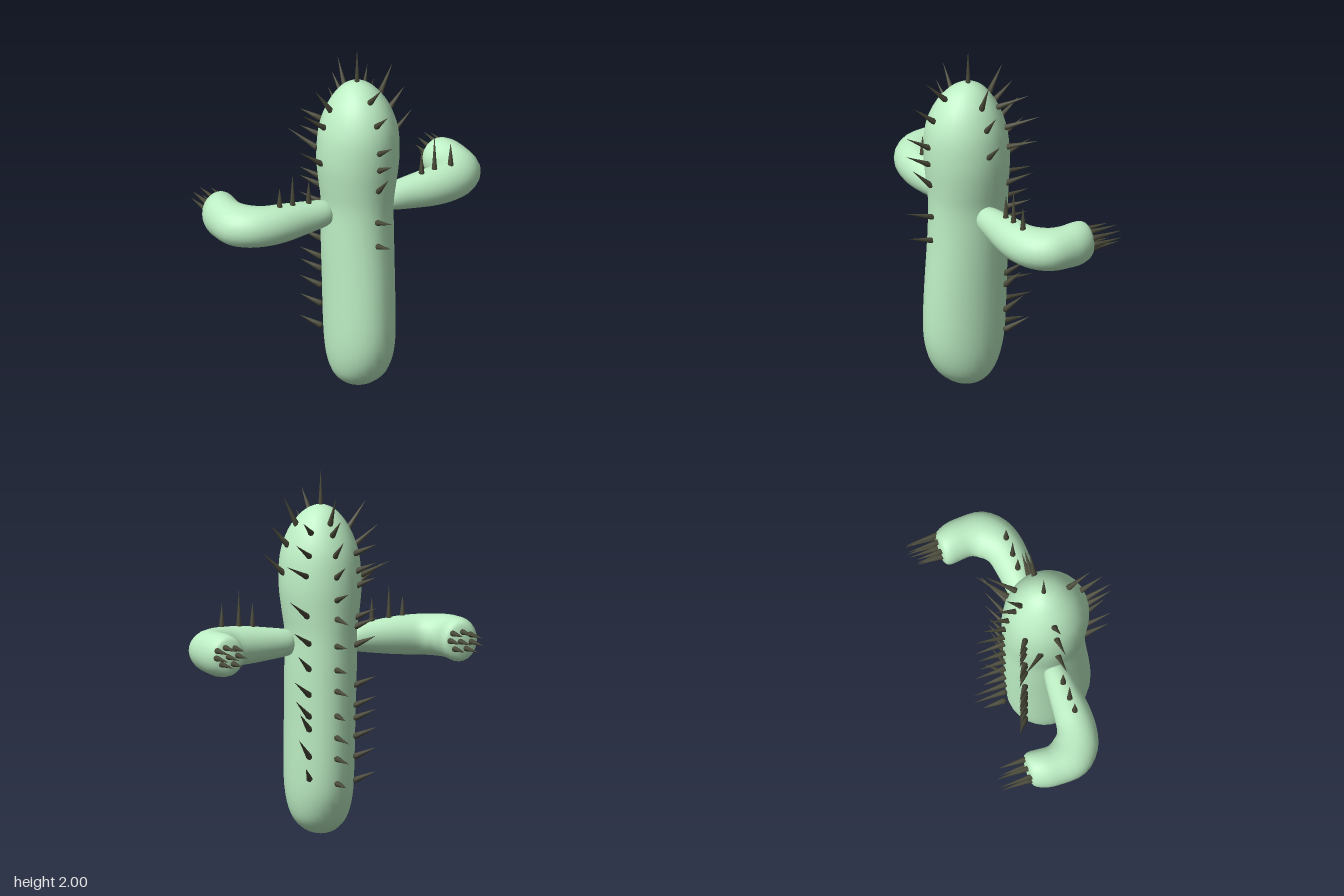
import * as THREE from 'three';

const skin = new THREE.MeshStandardMaterial({ color: 0xbdeec4 });
const thorn = new THREE.MeshStandardMaterial({ color: 0x4a4a3a });
const V = (x, y, z) => new THREE.Vector3(x, y, z);

// Catmull-Rom resampling of a table of section values
function smooth(rows, steps = 3) {
  const out = [];
  const at = i => rows[Math.min(Math.max(i, 0), rows.length - 1)];
  for (let i = 0; i < rows.length - 1; i++) {
    for (let s = 0; s < steps; s++) {
      const t = s / steps;
      out.push(rows[i].map((p, k) => {
        const o = at(i - 1)[k], q = at(i + 1)[k], r = at(i + 2)[k];
        return p + 0.5 * t * (q - o + t * (2 * o - 5 * p + 4 * q - r + t * (3 * (p - q) + r - o)));
      }));
    }
  }
  out.push(rows[rows.length - 1]);
  return out;
}

// Skin over elliptical sections { c, u, v }, where u x v points along the path
function loft(sections, name, n = 24) {
  const pos = [], idx = [];
  sections.forEach(({ c, u, v }, i) => {
    for (let j = 0; j < n; j++) {
      const a = j / n * Math.PI * 2;
      const p = c.clone().addScaledVector(u, Math.cos(a)).addScaledVector(v, Math.sin(a));
      pos.push(p.x, p.y, p.z);
      if (i < sections.length - 1) {
        const A = i * n + j, B = i * n + (j + 1) % n;
        idx.push(A, B, A + n, B, B + n, A + n);
      }
    }
  });
  const g = new THREE.BufferGeometry();
  g.setAttribute('position', new THREE.Float32BufferAttribute(pos, 3));
  g.setIndex(idx);
  g.computeVertexNormals();
  const m = new THREE.Mesh(g, skin);
  m.name = name;
  return m;
}

// Needle with a small rounded foot, from base to tip
function spike(base, tip) {
  const d = tip.clone().sub(base), len = d.length();
  const profile = [[0, -0.01], [0.012, -0.006], [0.017, 0.008], [0.012, 0.05], [0, len]];
  const g = new THREE.LatheGeometry(profile.map(p => new THREE.Vector2(...p)), 8);
  const m = new THREE.Mesh(g, thorn);
  m.name = 'spike';
  m.position.copy(base);
  m.quaternion.setFromUnitVectors(V(0, 1, 0), d.normalize());
  return m;
}

export function createModel() {
  const model = new THREE.Group();
  model.name = 'cactus';

  // Trunk: height, half width, front z, back z
  const trunk = [
    [0.005, 0, 0.06, 0.06], [0.02, 0.065, 0.135, -0.005], [0.06, 0.12, 0.2, -0.055],
    [0.12, 0.155, 0.255, -0.095], [0.22, 0.176, 0.3, -0.132], [0.36, 0.183, 0.32, -0.15],
    [0.6, 0.185, 0.312, -0.16], [0.9, 0.19, 0.29, -0.165], [1.1, 0.19, 0.285, -0.165],
    [1.22, 0.206, 0.293, -0.168], [1.36, 0.222, 0.306, -0.17], [1.5, 0.217, 0.306, -0.157],
    [1.6, 0.195, 0.285, -0.132], [1.69, 0.155, 0.24, -0.09], [1.76, 0.1, 0.175, -0.04],
    [1.795, 0.05, 0.115, 0.01], [1.81, 0, 0.06, 0.06]];
  model.add(loft(smooth(trunk).map(([y, rx, f, b]) => ({
    c: V(0, y, (f + b) / 2), u: V(0, 0, (f - b) / 2), v: V(rx, 0, 0) })), 'trunk', 28));

  const row = (name, list) => {
    const g = new THREE.Group();
    g.name = name;
    list.forEach(([a, b]) => g.add(spike(a, b)));
    model.add(g);
  };

  // Arms: x, z, half width, half height, heading turning from outward to backward
  const arm = [
    [0.165, 0.055, 0, 0, 0], [0.172, 0.055, 0.045, 0.05, 0], [0.2, 0.055, 0.068, 0.072, 0],
    [0.32, 0.055, 0.085, 0.09, 0], [0.45, 0.055, 0.1, 0.105, 0.02], [0.55, 0.045, 0.108, 0.11, 0.2],
    [0.63, 0.01, 0.122, 0.113, 0.6], [0.685, -0.05, 0.125, 0.115, 1.1], [0.7, -0.13, 0.11, 0.117, 1.5],
    [0.695, -0.2, 0.107, 0.12, 1.62], [0.68, -0.26, 0.096, 0.11, 1.65], [0.675, -0.285, 0.07, 0.08, 1.6],
    [0.672, -0.295, 0, 0, 1.6]];
  for (const s of [1, -1]) {
    const side = s > 0 ? 'left' : 'right';
    model.add(loft(smooth(arm).map(([x, z, w, h, a]) => ({
      c: V(s * x, 1.063, z), u: V(0, h, 0), v: V(Math.sin(a) * w, 0, s * Math.cos(a) * w) })), side + 'Arm'));

    // Spikes on the upper side of the arm: x, tip height
    const upper = s > 0 ? [[0.4, 1.3], [0.48, 1.365], [0.58, 1.3]] : [[0.3, 1.28], [0.4, 1.345], [0.48, 1.28]];
    row(side + 'ArmSpikes', upper.map(([x, t]) =>
      [V(s * x, 1.135 + 0.06 * (x - 0.2), 0.06), V(s * x, t, 0.06)]));

    // Cluster at the arm end
    const shift = s > 0 ? 0.01 : -0.01;
    const hand = [[0.64, 1.11], [0.695, 1.115], [0.74, 1.1], [0.625, 1.07], [0.68, 1.065],
      [0.745, 1.06], [0.65, 1.025], [0.715, 1.025]];
    row(side + 'EndSpikes', hand.map(([x, y], i) =>
      [V(s * (x + shift), y, -0.275), V(s * (x + shift), y + 0.002, i % 3 ? -0.46 : -0.43)]));
  }

  // Crown and front row: base y, z, tip y, z
  row('crownSpike', [[V(0, 1.77, 0.06), V(0, 2, 0.06)]]);
  row('frontSpikes', [[1.735, 0.2, 1.865, 0.33], [1.62, 0.27, 1.73, 0.4], [1.47, 0.3, 1.565, 0.45],
    [1.37, 0.3, 1.455, 0.45], [1.24, 0.29, 1.36, 0.41], [1.05, 0.28, 1.11, 0.45], [0.91, 0.285, 0.955, 0.435]]
    .map(([y, z, ty, tz]) => [V(0, y, z), V(0, ty, tz)]));

  // Back row along the spine
  row('backSpikes', [[1.71, -0.07, 1.865, -0.155], [1.65, -0.095, 1.75, -0.22], [1.54, -0.13, 1.64, -0.26],
    [1.43, -0.15, 1.51, -0.29], [1.31, -0.16, 1.37, -0.335], [1.21, -0.165, 1.2, -0.34],
    [1.06, -0.16, 1.07, -0.32], [0.93, -0.16, 0.935, -0.31], [0.815, -0.16, 0.81, -0.34],
    [0.68, -0.16, 0.67, -0.29], [0.56, -0.16, 0.55, -0.345], [0.445, -0.16, 0.44, -0.345],
    [0.31, -0.165, 0.305, -0.295]]
    .map(([y, z, ty, tz]) => [V(0, y, z), V(0, ty, tz)]));

  // Side rows above the arms: base x, y, tip x, y
  row('sideSpikes', [[0.14, 1.7, 0.22, 1.865], [0.19, 1.59, 0.295, 1.71], [0.215, 1.44, 0.34, 1.56],
    [-0.16, 1.665, -0.265, 1.815], [-0.195, 1.57, -0.34, 1.68], [-0.215, 1.36, -0.36, 1.465]]
    .map(([x, y, tx, ty]) => [V(x, y, 0.06), V(tx, ty, 0.06)]));

  // Back-left row, leaning upward: base y, base x, tip x, tip y, tip z
  row('backLeftSpikes', [[0.33, 0.13, 0.2, 0.41, -0.21], [0.45, 0.13, 0.22, 0.56, -0.16],
    [0.6, 0.13, 0.21, 0.7, -0.15], [0.67, 0.13, 0.24, 0.775, -0.16], [0.79, 0.13, 0.25, 0.88, -0.17],
    [0.93, 0.13, 0.23, 1.02, -0.17], [1.07, 0.13, 0.26, 1.15, -0.18], [1.22, 0.14, 0.28, 1.32, -0.18],
    [1.44, 0.145, 0.31, 1.52, -0.2], [1.55, 0.13, 0.27, 1.64, -0.235], [1.67, 0.105, 0.21, 1.75, -0.2]]
    .map(([y, x, tx, ty, tz]) => [V(x, y, y > 1.6 ? -0.06 : -0.095), V(tx, ty, tz)]));

  // Back-right row, nearly level
  const right = [0.31, 0.44, 0.55, 0.65, 0.72, 0.83, 1.05, 1.15, 1.2, 1.37, 1.45, 1.55]
    .map(y => [V(-0.135, y, -0.095), V(-0.23, y + 0.055, -0.165)]);
  right.push([V(-0.2, 1.42, -0.03), V(-0.31, 1.51, -0.165)]);
  row('backRightSpikes', right);

  return model;
}
